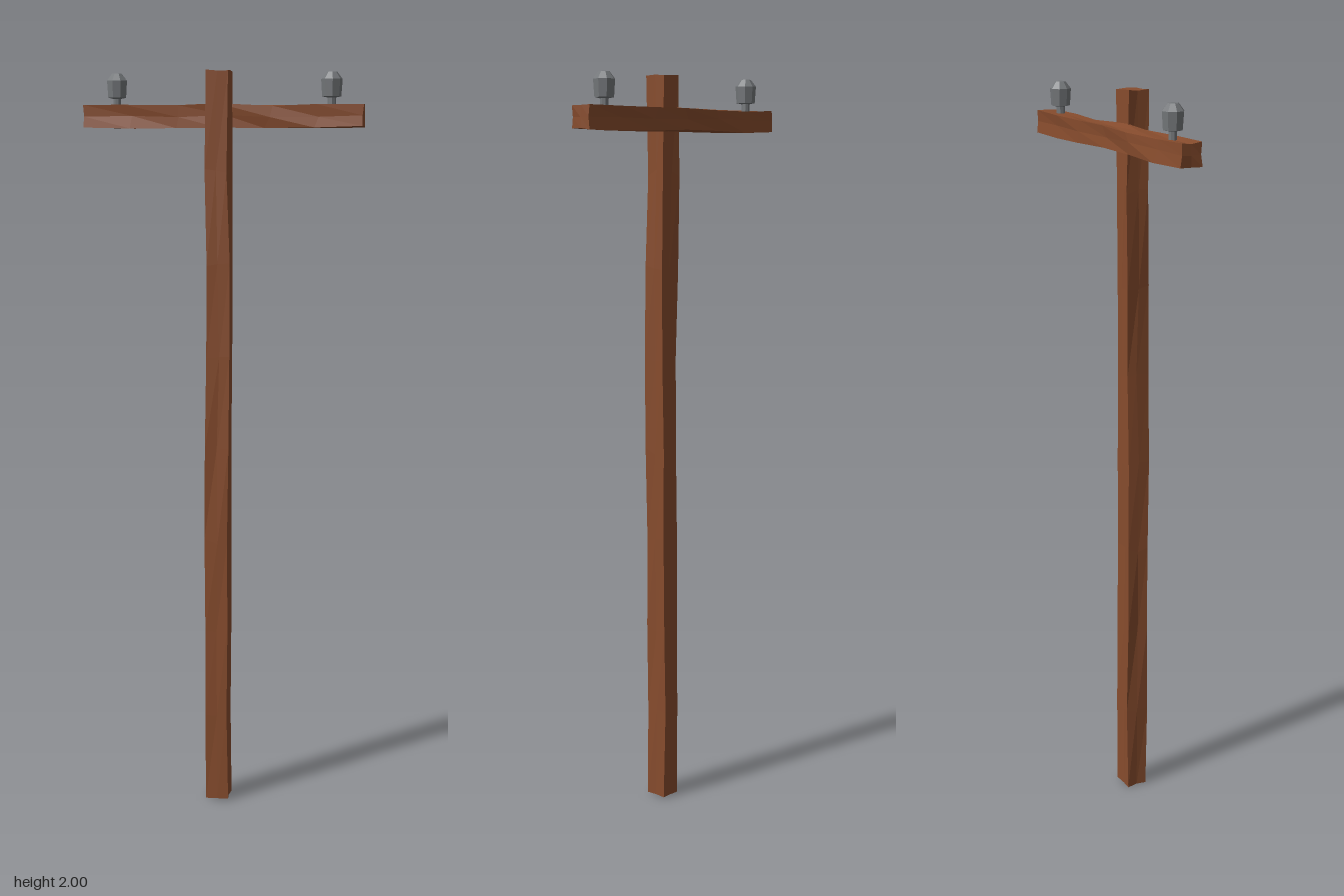
import * as THREE from 'three';

// Repeatable noise in -1..1 from a position, so shared corners move together
function noise(x, y, z, k) {
  const s = Math.sin(x * 917.1 + y * 311.7 + z * 743.3 + k * 57.9) * 43758.5453;
  return (s - Math.floor(s)) * 2 - 1;
}

// Rough-hewn timber along y: grooved, slightly wandering square bar
function timber(width, length, segments, drift) {
  const geo = new THREE.BoxGeometry(width, length, width, 2, segments, 2);
  const p = geo.attributes.position;
  for (let i = 0; i < p.count; i++) {
    const x = +p.getX(i).toFixed(4), y = +p.getY(i).toFixed(4), z = +p.getZ(i).toFixed(4);
    const row = Math.round((y / length + 0.5) * segments);
    const isEnd = row === 0 || row === segments;
    const amount = isEnd ? 0.002 : 0.0035;
    // mid-face points sink in a little, giving a shallow split down each side
    const groove = x === 0 || z === 0 ? 0.94 : 1;
    const endInset = isEnd ? -Math.sign(y) * 0.0025 * (1 + noise(x, y, z, 4)) : noise(x, y, z, 2) * 0.012;
    p.setXYZ(i,
      x * groove + drift[row][0] + noise(x, y, z, 1) * amount,
      y + endInset,
      z * groove + drift[row][1] + noise(x, y, z, 3) * amount);
  }
  geo.computeVertexNormals();
  return geo;
}

export function createModel() {
  const model = new THREE.Group();
  model.name = 'utilityPole';
  const wood = new THREE.MeshStandardMaterial({ color: 0x874c2d, flatShading: true });
  wood.name = 'brown wood';
  const grey = new THREE.MeshStandardMaterial({ color: 0x74777a, flatShading: true });
  grey.name = 'grey ceramic';

  // Upright post
  const postDrift = [[0, 0], [0, 0], [0, 0.001], [-0.001, 0.002], [0.001, 0.001],
    [0.004, 0], [0.004, 0.001], [-0.002, -0.002], [0, 0]];
  const post = new THREE.Mesh(timber(0.06, 2, 8, postDrift), wood);
  post.name = 'post';
  post.position.set(0, 1, 0.029);
  model.add(post);

  // Crossbeam behind the post
  const beamDrift = [[0, 0], [0, 0], [0, -0.002], [-0.002, 0.001], [0.001, -0.003], [0, -0.001], [0, 0]];
  const beam = new THREE.Mesh(timber(0.057, 0.75, 6, beamDrift), wood);
  beam.name = 'crossbeam';
  beam.rotation.z = -Math.PI / 2;
  beam.position.set(0, 1.884, -0.028);
  model.add(beam);

  // Faceted insulators: thin stem, broad body, tapered cap
  const profile = [[0, 1.9], [0.011, 1.9], [0.011, 1.93], [0.025, 1.933],
    [0.028, 1.977], [0.014, 1.995], [0, 1.996]].map(([r, y]) => new THREE.Vector2(r, y));
  for (const side of [-1, 1]) {
    const insulator = new THREE.Mesh(new THREE.LatheGeometry(profile, 8), grey);
    insulator.name = side > 0 ? 'leftInsulator' : 'rightInsulator';
    insulator.position.set(side * 0.287, 0, -0.028);
    insulator.rotation.y = side * 0.2;
    model.add(insulator);
  }
  return model;
}
